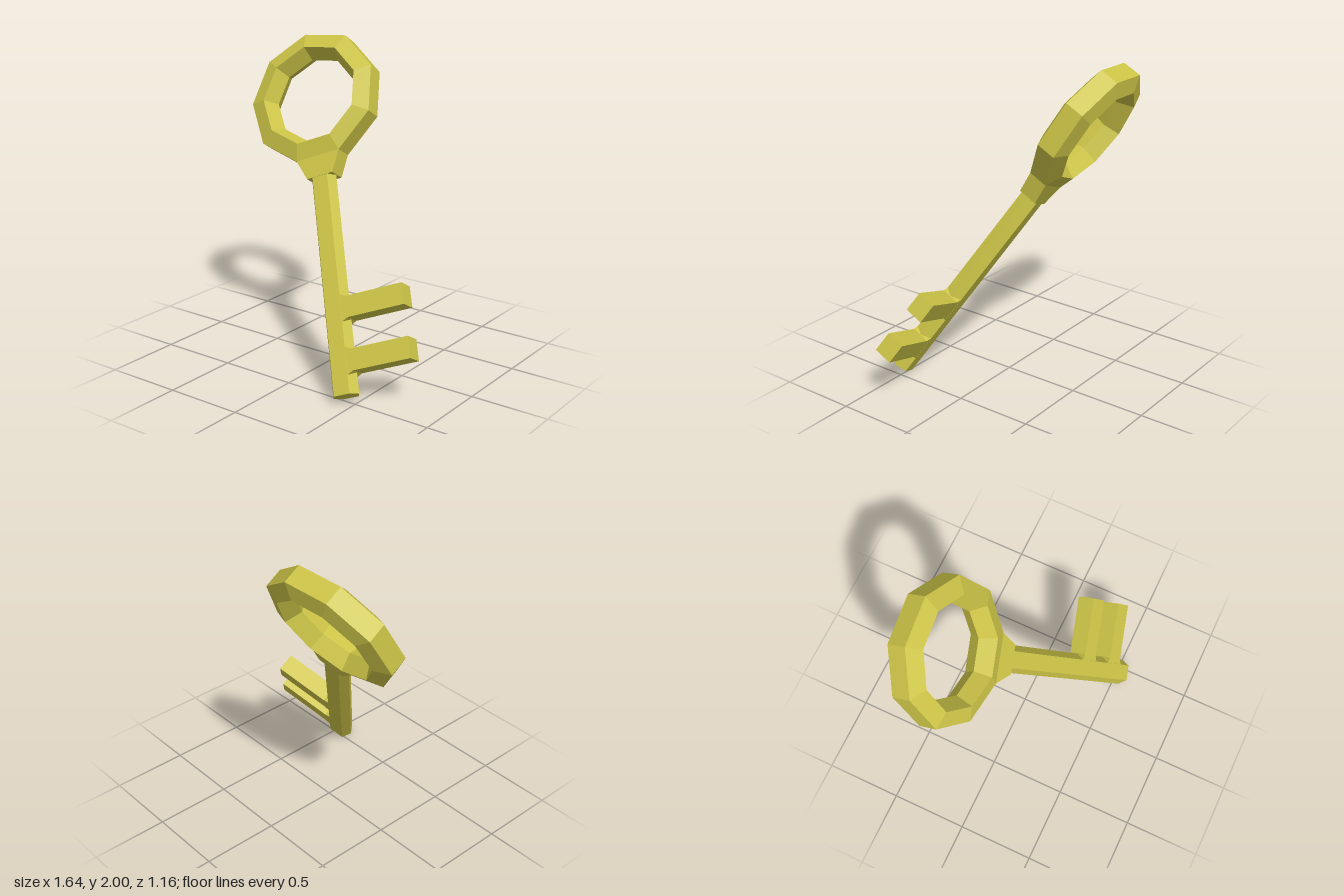
import * as THREE from 'three';

export function createModel() {
  const model = new THREE.Group();
  model.name = 'key';
  const material = new THREE.MeshStandardMaterial({ color: 0xccc447, flatShading: true });

  // Key axes: X along the teeth, Y up the shaft, Z out of the flat face
  const up = new THREE.Vector3(-0.434, 0.795, -0.424).normalize();
  const face = new THREE.Vector3(0.897, 0.359, -0.26).cross(up).normalize();
  const side = new THREE.Vector3().crossVectors(up, face);
  const key = new THREE.Group();
  key.name = 'tiltedKey';
  key.quaternion.setFromRotationMatrix(new THREE.Matrix4().makeBasis(side, up, face));
  key.position.set(-0.39, 1.595, -0.3); // centre of the bow
  model.add(key);

  const add = (name, geometry) => {
    const mesh = new THREE.Mesh(geometry, material);
    mesh.name = name;
    key.add(mesh);
  };
  const extrude = (points, depth) => new THREE.ExtrudeGeometry(
    new THREE.Shape(points.map(([x, y]) => new THREE.Vector2(x, y))),
    { depth, bevelEnabled: false });

  // Bow: nine-sided ring with a five-sided section
  const section = [[0.445, -0.0625], [0.445, 0.0625], [0.338, 0.102], [0.283, 0],
    [0.338, -0.102], [0.445, -0.0625]].map(([r, h]) => new THREE.Vector2(r, h));
  add('bow', new THREE.LatheGeometry(section, 9, Math.PI).rotateX(Math.PI / 2));

  // Neck tapering from the lowest ring segment
  add('neck', extrude([[-0.152, -0.418], [-0.09, -0.556], [0.09, -0.556], [0.152, -0.418]], 0.125)
    .translate(0, 0, -0.0625));

  // Hexagonal shaft
  const top = -0.54, tip = -1.946;
  add('shaft', extrude([[0.086, 0], [0.052, 0.06], [-0.052, 0.06], [-0.086, 0],
    [-0.052, -0.06], [0.052, -0.06]], top - tip).rotateX(-Math.PI / 2).translate(0, tip, 0));

  // Two teeth, slightly flared where they meet the shaft
  [-1.427, -1.75].forEach((y, i) => {
    const h = 0.066, flare = 0.025;
    add('tooth' + (i + 1), extrude([[0.04, y - h - flare], [0.09, y - h], [0.463, y - h],
      [0.463, y + h], [0.09, y + h], [0.04, y + h + flare]], 0.118).translate(0, 0, -0.059));
  });

  return model;
}
